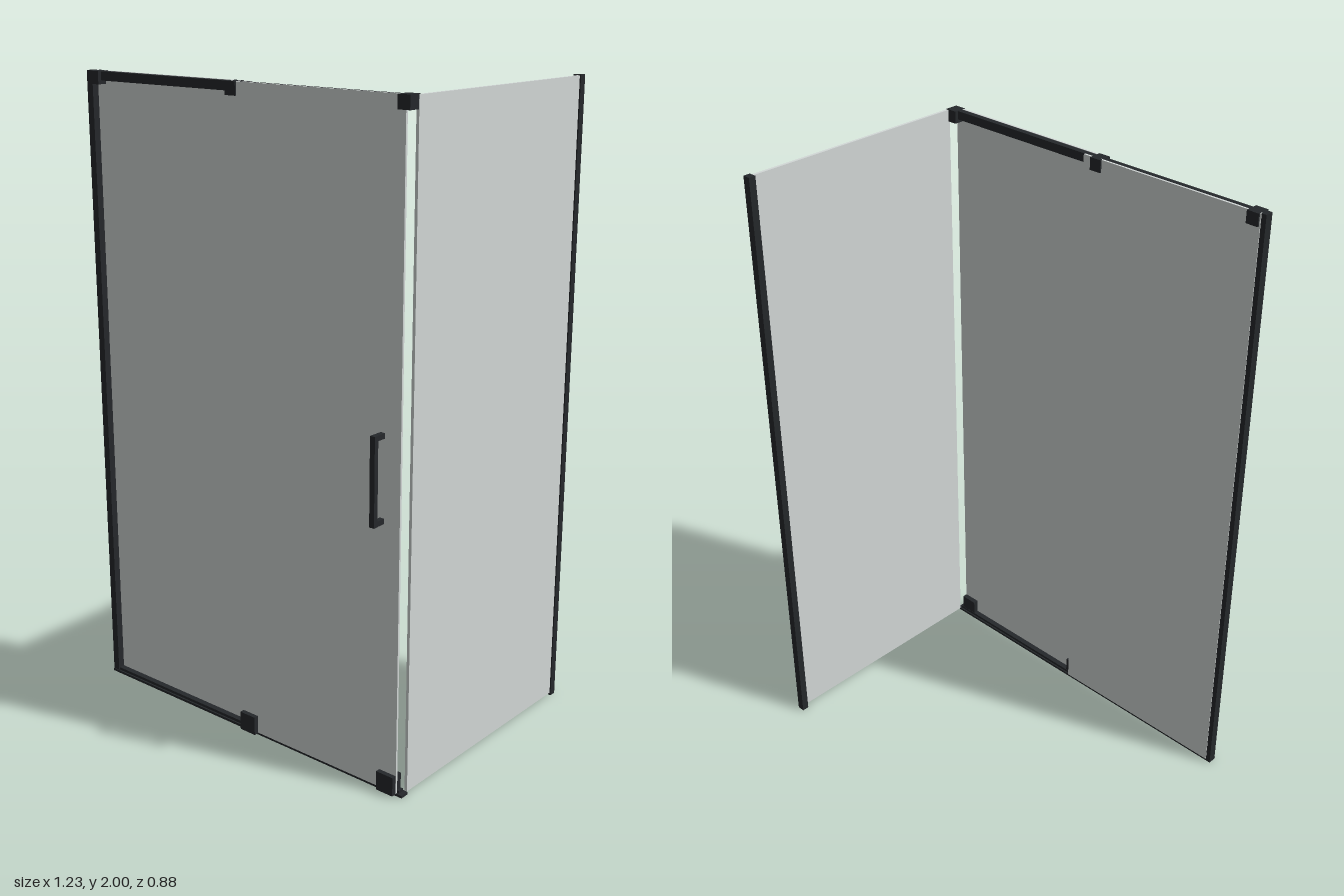
import * as THREE from 'three';

const metal = new THREE.MeshStandardMaterial({ color: 0x25282b });
const glass = new THREE.MeshStandardMaterial({ color: 0xd3d8d7 });

// Box given by its limits on each axis: [min, max]
function block(parent, name, material, [x0, x1], [y0, y1], [z0, z1]) {
  const mesh = new THREE.Mesh(new THREE.BoxGeometry(x1 - x0, y1 - y0, z1 - z0), material);
  mesh.position.set((x0 + x1) / 2, (y0 + y1) / 2, (z0 + z1) / 2);
  mesh.name = name;
  parent.add(mesh);
  return mesh;
}

export function createModel() {
  const root = new THREE.Group();
  root.name = 'showerEnclosure';

  // Glass: fixed pane behind the rail, sliding door in front, return pane at the side
  block(root, 'fixedPane', glass, [-0.6, 0.035], [0.008, 2], [0.36, 0.367]);
  block(root, 'slidingDoor', glass, [-0.016, 0.593], [0.008, 2], [0.386, 0.393]);
  block(root, 'sidePane', glass, [0.601, 0.61], [0.008, 1.998], [-0.425, 0.361]);

  // Wall profiles
  block(root, 'leftWallProfile', metal, [-0.616, -0.592], [0, 2], [0.362, 0.389]);
  block(root, 'backWallProfile', metal, [0.589, 0.614], [0, 2], [-0.438, -0.415]);

  // Top rail, sill and guide strip between the panes
  block(root, 'topRail', metal, [-0.605, 0.605], [1.972, 1.999], [0.367, 0.386]);
  block(root, 'sill', metal, [-0.616, 0.613], [0, 0.008], [0.362, 0.391]);
  block(root, 'guideStrip', metal, [-0.6, 0.6], [0.008, 0.017], [0.367, 0.386]);

  // Rail clamps
  for (const x of [-0.576, -0.014, 0.589]) {
    block(root, 'railClamp', metal, [x - 0.02, x + 0.02], [1.961, 2], [0.355, 0.398]);
  }

  // Door guides at the foot, wrapping the door glass
  for (const x of [0.022, 0.562]) {
    block(root, 'doorGuide', metal, [x - 0.03, x + 0.03], [0.006, 0.066], [0.368, 0.408]);
  }

  // Door handle: upright bar on two standoffs
  const handle = new THREE.Group();
  handle.name = 'doorHandle';
  root.add(handle);
  block(handle, 'handleBar', metal, [0.522, 0.539], [0.832, 1.096], [0.423, 0.438]);
  for (const y of [0.84, 1.088]) {
    block(handle, 'handleStandoff', metal, [0.523, 0.538], [y - 0.008, y + 0.008], [0.393, 0.424]);
  }

  return root;
}
